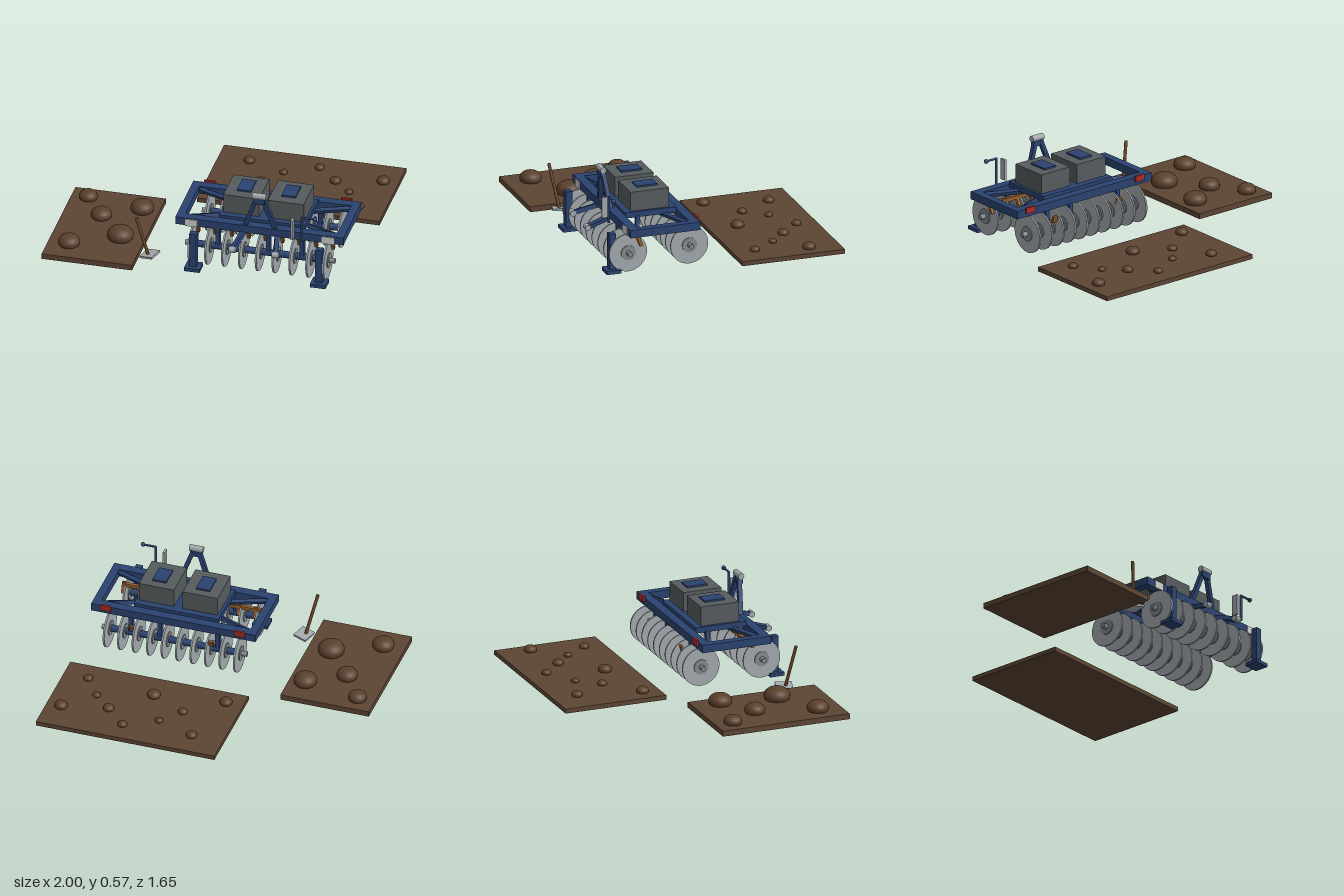
import * as THREE from 'three';

const mat = (name, color) => {
  const m = new THREE.MeshStandardMaterial({ color });
  m.name = name;
  return m;
};

export function createModel() {
  const root = new THREE.Group();
  root.name = 'discHarrowScene';
  const blue = mat('framePaint', 0x2a4270);
  const steel = mat('discSteel', 0xa2a9ad);
  const darkSteel = mat('hubSteel', 0x83898c);
  const hopperGrey = mat('hopperGrey', 0x565b5d);
  const soil = mat('soil', 0x5c4533);
  const clodBrown = mat('clodBrown', 0x5a402c);
  const rust = mat('scraperRust', 0x95602f);
  const red = mat('reflectorRed', 0xa82c24);
  const white = mat('markerWhite', 0xcfcfca);
  const wood = mat('handleWood', 0x6e4826);

  const CX = 0.395; // centre line of the implement
  const add = (name, geo, material, x = 0, y = 0, z = 0, parent = root) => {
    const m = new THREE.Mesh(geo, material);
    m.name = name;
    m.position.set(x, y, z);
    parent.add(m);
    return m;
  };
  // Box given by its min and max corners
  const span = (name, material, x0, x1, y0, y1, z0, z1) =>
    add(name, new THREE.BoxGeometry(x1 - x0, y1 - y0, z1 - z0), material,
      (x0 + x1) / 2, (y0 + y1) / 2, (z0 + z1) / 2);
  // Square beam or round rod between two points
  const link = (name, material, a, b, w, round = false) => {
    const p = new THREE.Vector3(...a), q = new THREE.Vector3(...b);
    const len = p.distanceTo(q);
    const geo = round ? new THREE.CylinderGeometry(w / 2, w / 2, len, 14) : new THREE.BoxGeometry(w, len, w);
    const m = add(name, geo, material);
    m.position.copy(p).add(q).multiplyScalar(0.5);
    m.quaternion.setFromUnitVectors(new THREE.Vector3(0, 1, 0), q.sub(p).normalize());
    return m;
  };
  const rodX = (name, material, x, y, z, r, len, sides = 20) => {
    const m = add(name, new THREE.CylinderGeometry(r, r, len, sides), material, x, y, z);
    m.rotation.z = Math.PI / 2;
    return m;
  };

  // Soil beds with clods: [x, z, radius]
  const bed = (name, x0, x1, z0, z1, h, clods) => {
    span(name, soil, x0, x1, 0, h, z0, z1);
    for (const [x, z, r] of clods) {
      add('clod', new THREE.SphereGeometry(r, 20, 14), clodBrown, x, h + 0.3 * r, z).scale.y = 0.68;
    }
  };
  bed('rearSoilBed', -0.21, 1, -0.83, -0.13, 0.03, [
    [0, -0.665, 0.037], [0.46, -0.69, 0.032], [0.9, -0.62, 0.043], [0.25, -0.575, 0.027], [0.6, -0.55, 0.037],
    [0.135, -0.435, 0.032], [0.72, -0.435, 0.027], [0.37, -0.32, 0.045], [-0.095, -0.25, 0.042], [0.83, -0.275, 0.032],
  ]);
  bed('sideSoilBed', -1, -0.4, -0.06, 0.82, 0.037, [
    [-0.885, 0.055, 0.061], [-0.51, 0.12, 0.077], [-0.745, 0.265, 0.069], [-0.56, 0.495, 0.087], [-0.86, 0.655, 0.072],
  ]);

  // Main frame
  span('frontBeam', blue, -0.165, 0.95, 0.265, 0.318, 0.555, 0.615);
  span('rearBeam', blue, -0.165, 0.95, 0.265, 0.318, 0.14, 0.2);
  span('rightBeam', blue, -0.165, -0.112, 0.265, 0.318, 0.2, 0.555);
  span('leftBeam', blue, 0.897, 0.95, 0.265, 0.318, 0.2, 0.555);
  for (const s of [-1, 1]) {
    link('rearBrace', blue, [CX + s * 0.5, 0.295, 0.2], [CX + s * 0.2, 0.295, 0.315], 0.026);
    link('frontBrace', blue, [CX + s * 0.5, 0.295, 0.555], [CX + s * 0.2, 0.295, 0.44], 0.026);
  }

  // Hopper platform and two hoppers with lids
  span('platform', blue, 0.108, 0.68, 0.3, 0.338, 0.205, 0.555);
  for (const s of [-1, 1]) {
    const x = CX + s * 0.148;
    span('hopper', hopperGrey, x - 0.119, x + 0.119, 0.338, 0.468, 0.25, 0.513);
    span('hopperLid', blue, x - 0.047, x + 0.047, 0.468, 0.479, 0.305, 0.445);
  }

  // Disc gangs: axle, hangers, discs and hubs
  const gang = (z, count, x0, x1) => {
    rodX('axle', blue, (x0 + x1) / 2, 0.13, z, 0.023, x1 - x0 + 0.01);
    rodX('axleEnd', darkSteel, (x0 + x1) / 2, 0.13, z, 0.017, x1 - x0 + 0.1);
    const step = (x1 - x0) / (count - 1);
    for (let i = 0; i < count; i++) {
      const x = x0 + i * step;
      rodX('disc', steel, x, 0.13, z, 0.128, 0.011, 40);
      rodX('hub', darkSteel, x, 0.13, z, 0.05, 0.024, 28);
    }
    for (const i of [1, Math.floor(count / 2), count - 3]) {
      span('hanger', blue, x0 + (i + 0.5) * step - 0.014, x0 + (i + 0.5) * step + 0.014, 0.13, 0.27, z - 0.02, z + 0.02);
    }
  };
  gang(0.175, 10, -0.048, 0.835);
  gang(0.595, 9, -0.052, 0.842);

  // Scraper bar and scrapers for the front gang, two scrapers at the rear
  span('scraperBar', rust, -0.075, 0.866, 0.22, 0.244, 0.515, 0.538);
  for (let i = 0; i < 9; i++) {
    const s = add('scraper', new THREE.BoxGeometry(0.028, 0.078, 0.022), rust, -0.04 + i * 0.1118, 0.208, 0.524);
    s.rotation.x = 0.38;
  }
  for (const s of [-1, 1]) {
    add('rearScraper', new THREE.BoxGeometry(0.045, 0.045, 0.014), rust, CX + s * 0.262, 0.205, 0.115).rotation.x = -0.3;
  }

  for (const s of [-1, 1]) {
    // Front parking stands
    const x = CX + s * 0.418;
    span('stand', blue, x - 0.023, x + 0.023, 0.02, 0.265, 0.675, 0.718);
    span('standFoot', blue, x - 0.052, x + 0.052, 0, 0.024, 0.648, 0.745);
    // Marker plates and rear reflectors
    const r = CX + s * 0.454;
    span('frontMarker', white, r - 0.04, r + 0.04, 0.264, 0.313, 0.615, 0.623);
    span('rearReflector', red, r - 0.036, r + 0.036, 0.29, 0.33, 0.126, 0.14);
    // Hitch mast legs and lower links
    link('mastLeg', blue, [CX + s * 0.115, 0.27, 0.588], [CX + s * 0.022, 0.53, 0.614], 0.028);
    link('lowerLink', blue, [CX + s * 0.11, 0.265, 0.59], [CX + s * 0.143, 0.217, 0.765], 0.03);
    rodX('linkBall', steel, CX + s * 0.143, 0.218, 0.765, 0.02, 0.044);
  }
  span('mastHead', blue, CX - 0.038, CX + 0.038, 0.5, 0.54, 0.602, 0.634);
  rodX('topLinkPin', steel, CX, 0.553, 0.62, 0.021, 0.092);

  // Document holder tube and crank
  span('gaugePlate', steel, 0.62, 0.636, 0.305, 0.445, 0.655, 0.698);
  link('crankPost', blue, [0.69, 0.29, 0.672], [0.69, 0.465, 0.672], 0.017, true);
  link('crankArm', blue, [0.685, 0.465, 0.672], [0.775, 0.465, 0.672], 0.014, true);
  add('crankKnob', new THREE.SphereGeometry(0.015, 14, 10), blue, 0.775, 0.465, 0.672);

  // Shovel
  const blade = add('shovelBlade', new THREE.BoxGeometry(0.092, 0.014, 0.11), steel, -0.328, 0.029, 0.638);
  blade.rotation.set(0, -0.27, 0.16);
  link('shovelHandle', wood, [-0.338, 0.03, 0.645], [-0.404, 0.318, 0.692], 0.021, true);

  return root;
}
